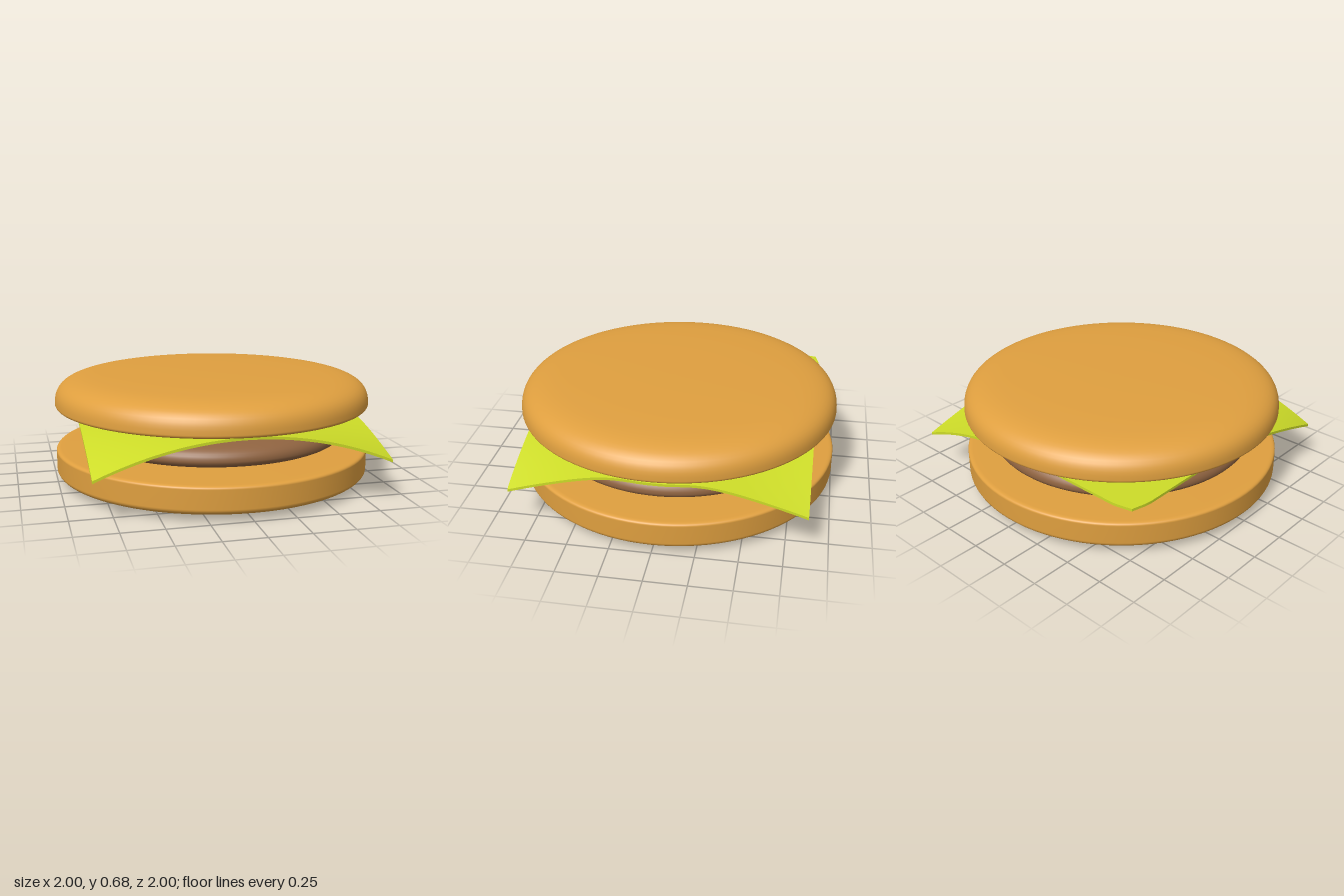
import * as THREE from 'three';

const BUN = 0xdf9f3f, PATTY = 0x8f6340, CHEESE = 0xcddc28;

function makeMesh(name, geometry, color) {
  const mesh = new THREE.Mesh(geometry, new THREE.MeshStandardMaterial({ color }));
  mesh.name = name;
  return mesh;
}

// Round layer from a smooth profile running from the bottom centre to the top centre
function roundLayer(name, path, color) {
  return makeMesh(name, new THREE.LatheGeometry(path.getPoints(12), 96), color);
}

// Bottom bun: softly rounded underside, upright wall, tight upper edge
function bottomBun() {
  const p = new THREE.Path();
  p.moveTo(0, 0).lineTo(0.5, 0.005).lineTo(0.8, 0.016);
  p.bezierCurveTo(0.93, 0.022, 1, 0.035, 1, 0.075);
  p.lineTo(1, 0.19);
  p.quadraticCurveTo(1, 0.208, 0.97, 0.209);
  p.lineTo(0.93, 0.21).lineTo(0, 0.212);
  return roundLayer('bottomBun', p, BUN);
}

// Patty: thick disc with a rounded rim
function patty() {
  const p = new THREE.Path();
  p.moveTo(0, 0.215).lineTo(0.45, 0.22);
  p.bezierCurveTo(0.7, 0.228, 0.84, 0.25, 0.84, 0.3);
  p.bezierCurveTo(0.84, 0.365, 0.76, 0.4, 0.5, 0.412);
  p.lineTo(0, 0.415);
  return roundLayer('patty', p, PATTY);
}

// Top bun: flat underside and a low dome
function topBun() {
  const p = new THREE.Path();
  p.moveTo(0, 0.472).lineTo(0.93, 0.472).lineTo(0.97, 0.473);
  p.quadraticCurveTo(1, 0.474, 1, 0.495);
  p.bezierCurveTo(1, 0.6, 0.94, 0.648, 0.75, 0.66);
  p.bezierCurveTo(0.55, 0.672, 0.3, 0.675, 0, 0.675);
  return roundLayer('topBun', p, BUN);
}

// Cheese: thin square sheet with three drooping corners and one lying flat
function cheeseSlice() {
  const half = 0.875;
  const geo = new THREE.BoxGeometry(half * 2, 0.016, half * 2, 48, 1, 48);
  const pos = geo.attributes.position;
  for (let i = 0; i < pos.count; i++) {
    const u = pos.getX(i) / half, v = pos.getZ(i) / half;
    const flatCorner = u < 0 && v < 0;
    const droop = flatCorner ? 0 : 0.19 * u * u * Math.abs(v) ** 1.5;
    // Small dip in the middle of the left edge
    const dip = 0.055 * Math.max(0, u) ** 4 * Math.exp(-((v / 0.25) ** 2));
    pos.setY(i, pos.getY(i) + 0.441 - droop - dip);
    // The flat corner is slightly blunted
    if (flatCorner) {
      const blunt = 0.025 * Math.max(0, (-u - v - 1.85) / 0.15);
      pos.setX(i, pos.getX(i) + blunt);
      pos.setZ(i, pos.getZ(i) + blunt);
    }
  }
  geo.computeVertexNormals();
  return makeMesh('cheeseSlice', geo, CHEESE);
}

export function createModel() {
  const burger = new THREE.Group();
  burger.name = 'burger';
  burger.add(bottomBun(), patty(), cheeseSlice(), topBun());
  return burger;
}
